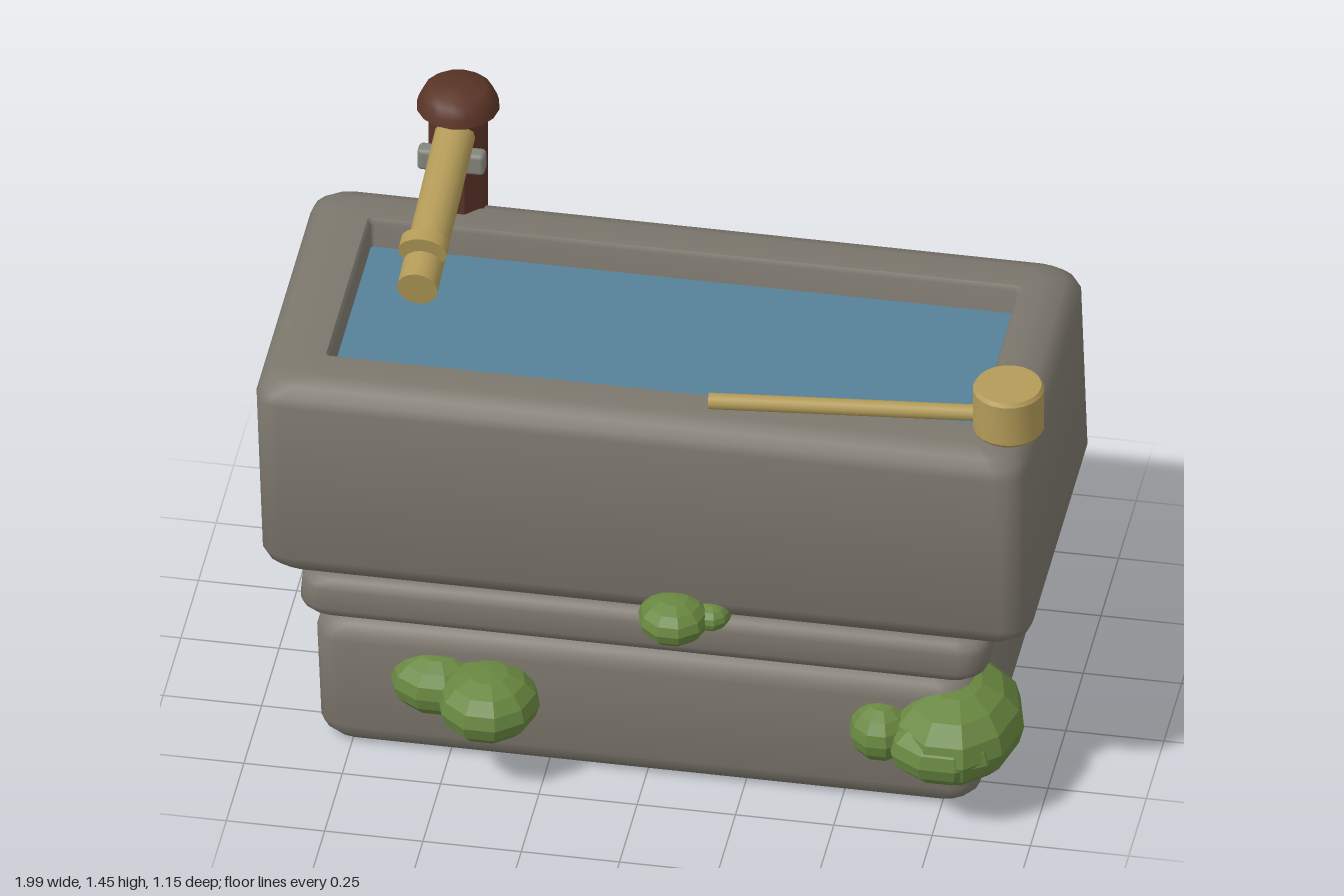
import * as THREE from 'three';
import { toCreasedNormals } from 'three/addons/utils/BufferGeometryUtils.js';
import { RoundedBoxGeometry } from 'three/addons/geometries/RoundedBoxGeometry.js';

const mat = (name, color, extra = {}) => {
  const m = new THREE.MeshStandardMaterial({ color, ...extra });
  m.name = name;
  return m;
};

// Loft through rounded rectangles [y, halfX, halfZ, cornerRadius, centreX, centreZ], capped at both ends
function loft(rings, steps = 4) {
  const pos = [], idx = [], n = 4 * (steps + 1);
  for (const [y, hx, hz, r, cx, cz] of rings) {
    for (let q = 0; q < 4; q++) {
      const sx = q === 0 || q === 3 ? 1 : -1, sz = q < 2 ? 1 : -1;
      for (let s = 0; s <= steps; s++) {
        const a = (q + s / steps) * Math.PI / 2;
        pos.push(cx + sx * (hx - r) + r * Math.cos(a), y, cz + sz * (hz - r) + r * Math.sin(a));
      }
    }
  }
  const last = rings.length - 1;
  for (let i = 0; i < last; i++) {
    for (let j = 0; j < n; j++) {
      const a = i * n + j, b = i * n + (j + 1) % n;
      idx.push(a, a + n, b, b, a + n, b + n);
    }
  }
  for (let j = 1; j < n - 1; j++) {
    idx.push(0, j, j + 1, last * n, last * n + j + 1, last * n + j);
  }
  const g = new THREE.BufferGeometry();
  g.setAttribute('position', new THREE.Float32BufferAttribute(pos, 3));
  g.setIndex(idx);
  return toCreasedNormals(g, 0.75);
}

// Worn stone block: soft top and bottom edges, leaning from bottom centre x0 to top centre x1
function blockRings(y0, y1, hx, hz, x0, x1, cz, ex, ey) {
  return [[0, 1], [0.25, 0.4], [0.6, 0.12], [1, 0], [-1, 0], [-0.6, 0.12], [-0.25, 0.4], [0, 1]].map(([t, inset], i) => {
    const y = i < 4 ? y0 + t * ey : y1 + t * ey;
    const cx = x0 + (x1 - x0) * (y - y0) / (y1 - y0);
    return [y, hx - ex * inset, hz - ex * 0.8 * inset, 0.07, cx, cz];
  });
}

export function createModel() {
  const group = new THREE.Group();
  const stone = mat('stone', 0x7c776d);
  const water = mat('water', 0x56819a);
  const wood = mat('darkWood', 0x5a3427);
  const bamboo = mat('bamboo', 0xb39b58);
  const moss = mat('moss', 0x688740, { flatShading: true });
  const iron = mat('bracketMetal', 0x85857f);

  const add = (name, geo, material, x = 0, y = 0, z = 0) => {
    const m = new THREE.Mesh(geo, material);
    m.name = name;
    m.position.set(x, y, z);
    group.add(m);
    return m;
  };
  // Cylinder between two points
  const rod = (name, a, b, r, material) => {
    const p = new THREE.Vector3(...a), q = new THREE.Vector3(...b), d = q.clone().sub(p);
    const m = add(name, new THREE.CylinderGeometry(r, r, d.length(), 16), material);
    m.position.copy(p).add(q).multiplyScalar(0.5);
    m.quaternion.setFromUnitVectors(new THREE.Vector3(0, 1, 0), d.normalize());
    return m;
  };

  // Stone pedestal and slab
  add('pedestal', loft(blockRings(0.01, 0.388, 0.84, 0.425, 0.005, -0.01, -0.045, 0.06, 0.06)), stone);
  add('slab', loft(blockRings(0.397, 0.523, 0.875, 0.43, -0.015, -0.005, -0.04, 0.04, 0.035)), stone);

  // Stone basin with a hollow
  const rim = blockRings(0.52, 1.112, 0.98, 0.453, 0, -0.02, -0.05, 0.085, 0.065);
  add('basin', loft([
    ...rim,
    [1.112, 0.832, 0.3, 0.01, -0.005, -0.05],
    [1.1, 0.824, 0.293, 0.01, -0.005, -0.05],
    [0.85, 0.82, 0.29, 0.01, -0.005, -0.05],
  ]), stone);
  const surface = add('water', new THREE.PlaneGeometry(1.645, 0.585), water, -0.005, 1.03, -0.05);
  surface.rotation.x = -Math.PI / 2;

  // Post and cap
  const post = new THREE.CylinderGeometry(0.076, 0.078, 0.95, 8);
  post.rotateY(Math.PI / 8);
  add('post', toCreasedNormals(post, 0.5), wood, -0.63, 0.905, -0.475);
  const cap = [[0, 0], [0.095, 0], [0.105, 0.008], [0.1, 0.028], [0.088, 0.054], [0.072, 0.067], [0, 0.067]]
    .map(p => new THREE.Vector2(...p));
  add('postCap', toCreasedNormals(new THREE.LatheGeometry(cap, 16), 0.7), wood, -0.63, 1.388, -0.475);

  // Bamboo spout with node ring and bracket
  rod('spout', [-0.63, 1.339, -0.44], [-0.63, 1.24, 0.105], 0.052, bamboo);
  const ring = add('spoutRing', new THREE.CylinderGeometry(1, 1, 1, 16), bamboo, -0.63, 1.304, 0.012);
  ring.scale.set(0.062, 0.04, 0.047);
  ring.rotation.x = Math.PI / 2 + 0.18;
  add('bracket', new RoundedBoxGeometry(0.172, 0.062, 0.044, 2, 0.012), iron, -0.63, 1.294, -0.385);

  // Ladle lying on the rim
  const cup = [[0, 0], [0.083, 0], [0.09, 0.01], [0.09, 0.125], [0.083, 0.135], [0, 0.135]]
    .map(p => new THREE.Vector2(...p));
  add('ladleCup', toCreasedNormals(new THREE.LatheGeometry(cup, 20), 0.6), bamboo, 0.905, 1.13, 0.28);
  rod('ladleHandle', [0.152, 1.158, 0.335], [0.84, 1.158, 0.265], 0.021, bamboo);

  // Moss clumps: centre, then radii
  for (const [x, y, z, rx, ry, rz] of [
    [-0.53, 0.235, 0.36, 0.125, 0.085, 0.11],
    [-0.39, 0.235, 0.43, 0.13, 0.09, 0.145],
    [0.08, 0.545, 0.42, 0.092, 0.062, 0.1],
    [0.17, 0.545, 0.39, 0.05, 0.038, 0.06],
    [0.78, 0.235, 0.31, 0.17, 0.13, 0.22],
    [0.765, 0.225, 0.4, 0.15, 0.09, 0.13],
    [0.6, 0.235, 0.37, 0.085, 0.08, 0.1],
    [0.81, 0.545, -0.47, 0.1, 0.063, 0.1],
    [0.865, 0.515, -0.385, 0.075, 0.04, 0.075],
  ]) {
    add('moss', new THREE.SphereGeometry(1, 10, 8), moss, x, y, z).scale.set(rx, ry, rz);
  }

  return group;
}
